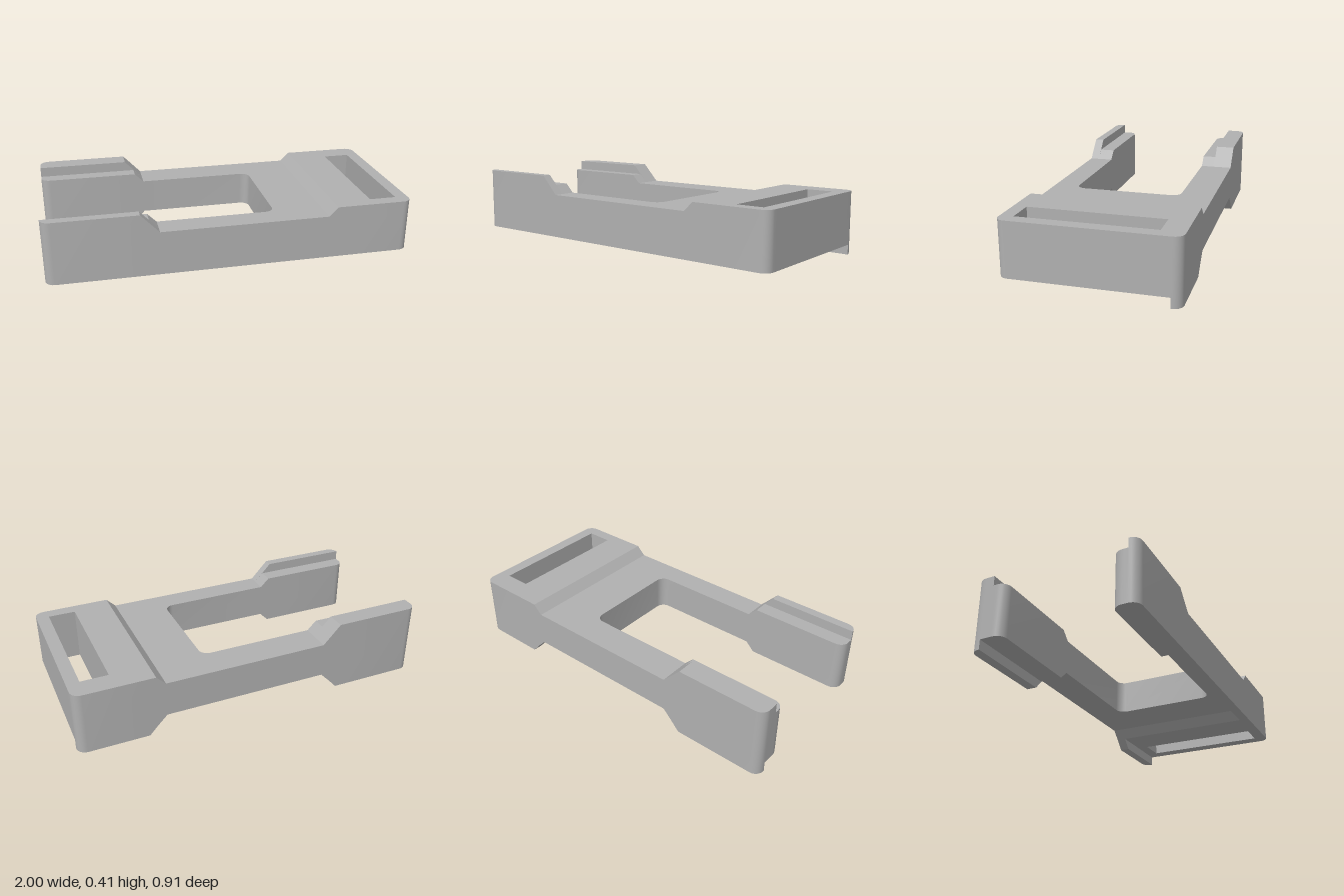
import * as THREE from 'three';
import { toCreasedNormals } from 'three/addons/utils/BufferGeometryUtils.js';

const R = 0.05;                       // plan corner radius
const Z0 = -0.455, Z1 = 0.455;        // outer sides
const SLOT0 = -0.275, SLOT1 = 0.32;   // open slot between the arms
const HOLE = { x0: 0.78, x1: 0.93, z0: -0.335, z1: 0.385 };
const BREAKS = [-0.5, -0.45, -0.4, 0.52, 0.57, 0.62];

// side profiles as [x, y] points
const TOP = [[-0.45, 0.35], [-0.4, 0.3], [0.52, 0.3], [0.57, 0.35]];
const TOP_LIP = [[-0.5, 0.405], [-0.4, 0.3], [0.52, 0.3], [0.57, 0.35]];
const BOTTOM = [[-0.45, 0.055], [-0.4, 0.105], [0.52, 0.105], [0.57, 0.055]];
const BOTTOM_LIP = [[-0.5, 0], [-0.45, 0.055], [-0.4, 0.105], [0.52, 0.105], [0.57, 0.055], [0.62, 0]];
const BOTTOM_RIM = [[0, 0.055]];

function along(profile, x) {
  if (x <= profile[0][0]) return profile[0][1];
  for (let i = 1; i < profile.length; i++) {
    const [xa, ya] = profile[i - 1], [xb, yb] = profile[i];
    if (x <= xb) return ya + (yb - ya) * (x - xa) / (xb - xa);
  }
  return profile[profile.length - 1][1];
}

// zm picks the band across the width
const topAt = (x, zm) => along(zm < -0.35 || zm > 0.405 ? TOP_LIP : TOP, x);
const bottomAt = (x, zm) => along(zm < -0.4 ? BOTTOM_LIP : zm > 0.4 ? BOTTOM_RIM : BOTTOM, x);

// how far a rounded corner pulls an end in, at distance d from the side
const inset = (d) => (d >= R ? 0 : R - Math.sqrt(Math.max(0, R * R - (R - d) ** 2)));

// solid x ranges of the plan at z, in the band holding zm
function spans(z, zm) {
  if (zm < Z0 || zm > Z1) return [];
  const right = 1 - inset(Math.min(z - Z0, Z1 - z));
  let left;
  if (zm < SLOT0) left = -1 + inset(Math.min(z - Z0, SLOT0 - z));
  else if (zm > SLOT1) left = -1 + inset(Math.min(z - SLOT1, Z1 - z));
  else left = 0.25 - inset(Math.min(z - SLOT0, SLOT1 - z));
  return zm > HOLE.z0 && zm < HOLE.z1
    ? [[left, HOLE.x0], [HOLE.x1, right]] : [[left, right]];
}

function bodyGeometry() {
  const pos = [];
  const quad = (a, b, c, d) => pos.push(...a, ...b, ...c, ...a, ...c, ...d);

  // z rows: band edges plus the steps of each rounded corner
  const rows = [-0.4, -0.35, HOLE.z0, HOLE.z1, 0.4, 0.405];
  for (const [z, dir] of [[Z0, 1], [SLOT0, -1], [SLOT0, 1], [SLOT1, -1], [SLOT1, 1], [Z1, -1]]) {
    for (let i = 0; i <= 6; i++) rows.push(z + dir * R * (1 - Math.cos(i * Math.PI / 12)));
  }
  rows.sort((a, b) => a - b);
  const zs = rows.filter((z, i) => i === 0 || z - rows[i - 1] > 1e-6);

  // tops, undersides and end walls
  for (let i = 0; i + 1 < zs.length; i++) {
    const za = zs[i], zb = zs[i + 1], zm = (za + zb) / 2;
    const A = spans(za, zm), B = spans(zb, zm);
    A.forEach(([a0, a1], s) => {
      const [b0, b1] = B[s];
      const inner = BREAKS.filter((x) => x > a0 && x < a1);
      const xa = [a0, ...inner, a1], xb = [b0, ...inner, b1];
      const t = (x, z) => [x, topAt(x, zm), z];
      const b = (x, z) => [x, bottomAt(x, zm), z];
      for (let k = 0; k + 1 < xa.length; k++) {
        quad(t(xa[k], za), t(xb[k], zb), t(xb[k + 1], zb), t(xa[k + 1], za));
        quad(b(xa[k], za), b(xa[k + 1], za), b(xb[k + 1], zb), b(xb[k], zb));
      }
      quad(b(a0, za), b(b0, zb), t(b0, zb), t(a0, za));
      quad(b(b1, zb), b(a1, za), t(a1, za), t(b1, zb));
    });
  }

  // walls across z, wherever one side of a row is solid and the other is not
  const wall = (z, xa, xb, lo, hi, front) => {
    if (hi(xa) - lo(xa) < 1e-6 && hi(xb) - lo(xb) < 1e-6) return;
    const p = [[xa, lo(xa), z], [xb, lo(xb), z], [xb, hi(xb), z], [xa, hi(xa), z]];
    quad(...(front ? p : p.reverse()));
  };
  zs.forEach((z, i) => {
    const before = i > 0 ? (zs[i - 1] + z) / 2 : Z0 - 1;
    const after = i + 1 < zs.length ? (zs[i + 1] + z) / 2 : Z1 + 1;
    const sides = [[before, after, true], [after, before, false]];
    const xs = [...BREAKS, ...spans(z, before).flat(), ...spans(z, after).flat()].sort((a, b) => a - b);
    for (let k = 0; k + 1 < xs.length; k++) {
      const xa = xs[k], xb = xs[k + 1], mid = (xa + xb) / 2;
      if (xb - xa < 1e-6) continue;
      const solid = (zm) => spans(z, zm).some(([l, r]) => mid > l && mid < r);
      for (const [own, other, front] of sides) {
        if (!solid(own)) continue;
        const top = (x) => topAt(x, own), low = (x) => bottomAt(x, own);
        if (!solid(other)) { wall(z, xa, xb, low, top, front); continue; }
        wall(z, xa, xb, (x) => Math.min(top(x), topAt(x, other)), top, front);
        wall(z, xa, xb, low, (x) => Math.max(low(x), bottomAt(x, other)), front);
      }
    }
  });

  const geo = new THREE.BufferGeometry();
  geo.setAttribute('position', new THREE.Float32BufferAttribute(pos, 3));
  return toCreasedNormals(geo, 0.5);
}

export function createModel() {
  const grey = new THREE.MeshStandardMaterial({ color: 0xb0b0b0 });
  grey.name = 'grey';

  // forked clip body: two lipped arms, bridge and slotted end block
  const body = new THREE.Mesh(bodyGeometry(), grey);
  body.name = 'forkedBody';

  const model = new THREE.Group();
  model.name = 'forkedClip';
  model.add(body);
  return model;
}
